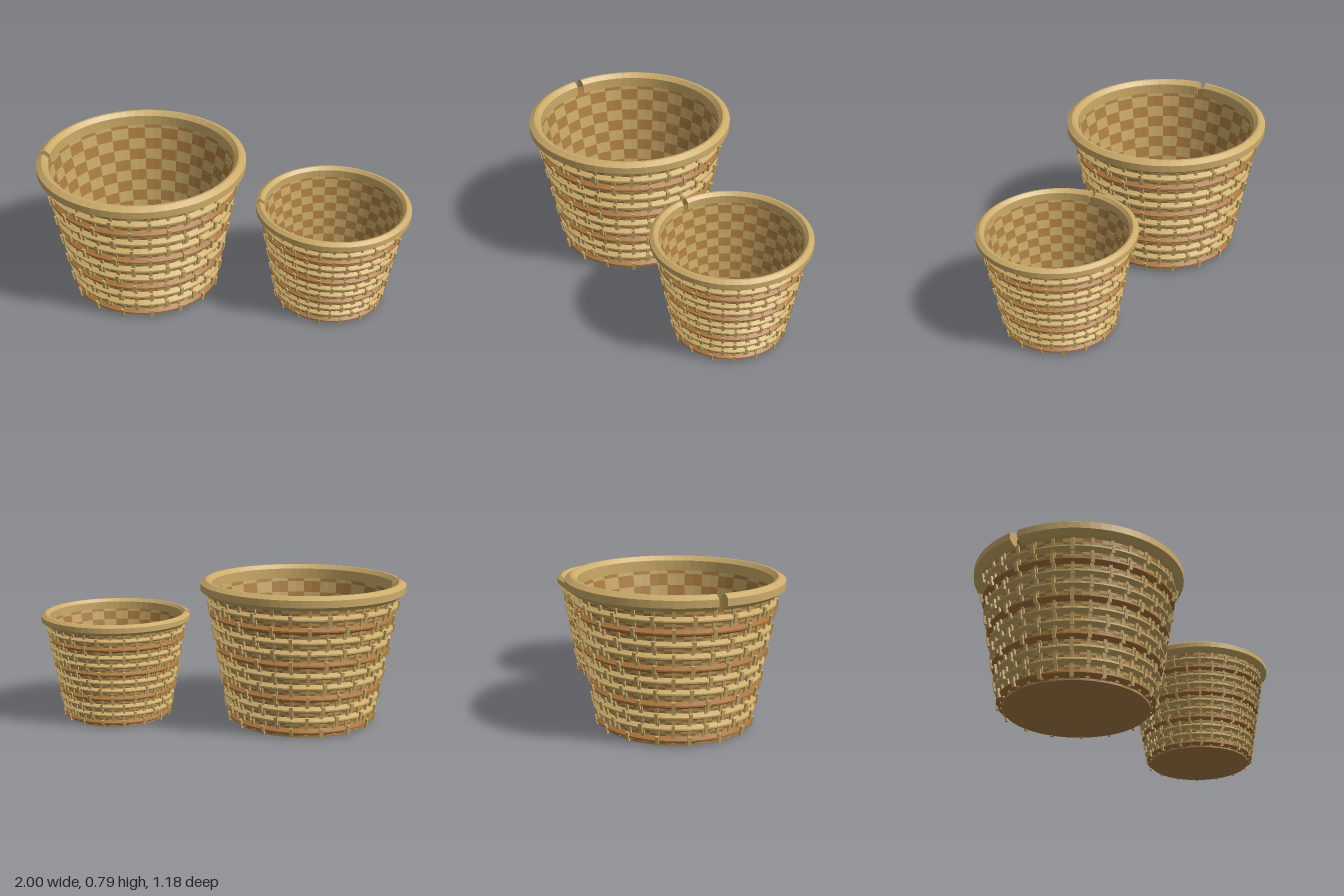
import * as THREE from 'three';
import { mergeGeometries } from 'three/addons/utils/BufferGeometryUtils.js';

const STAKES = 32, ROWS = 11, PITCH = 0.063;
const wallRadius = (y) => 0.375 + 0.18 * y;

function material(name, color, side = THREE.FrontSide) {
  const m = new THREE.MeshStandardMaterial({ color, side, flatShading: true });
  m.name = name;
  return m;
}

function part(name, geometry, mat) {
  const mesh = new THREE.Mesh(geometry, mat);
  mesh.name = name;
  return mesh;
}

const lathe = (pts, segments, start = 0, length = Math.PI * 2) =>
  new THREE.LatheGeometry(pts.map(([x, y]) => new THREE.Vector2(x, y)), segments, start, length);

// Wall squares of one colour in the woven checkerboard
function wallChecker(parity) {
  const rows = ROWS + 1, h = rows * PITCH;
  const g = new THREE.CylinderGeometry(wallRadius(h), wallRadius(0), h, STAKES * 2, rows, true);
  g.translate(0, h / 2, 0);
  const source = g.index.array, kept = [];
  for (let x = 0; x < STAKES * 2; x++) {
    for (let y = 0; y < rows; y++) {
      if (((x >> 1) + y) % 2 !== parity) continue;
      const k = (x * rows + y) * 6;
      kept.push(...source.slice(k, k + 6));
    }
  }
  g.setIndex(kept);
  return g;
}

// Horizontal ridge around the wall
function hoop(row) {
  const y = (row + 0.5) * PITCH, r = wallRadius(y);
  return lathe([[r - 0.004, y - 0.02], [r + 0.028, y - 0.004], [r + 0.028, y + 0.004], [r + 0.002, y + 0.02]], 64);
}

// Thin upright slat lying along the sloping wall
function slat(width, length, depth, y, offset, angle) {
  return new THREE.BoxGeometry(width, length, depth)
    .rotateX(Math.atan(0.18))
    .translate(0, y, wallRadius(y) + offset)
    .rotateY(angle);
}

function createBasket(name, mats) {
  const basket = new THREE.Group();
  basket.name = name;

  basket.add(part('wallTan', wallChecker(0), mats.wall));
  basket.add(part('wallBrown', wallChecker(1), mats.wallBrown));
  basket.add(part('floor', new THREE.CylinderGeometry(0.376, 0.376, 0.012, 64).translate(0, 0.006, 0), mats.floor));

  // Hoops, every third one brown
  for (let i = 0; i < ROWS; i++) basket.add(part('hoop', hoop(i), i % 3 === 0 ? mats.brown : mats.tan));

  // Stakes, passing over alternate hoops
  const slats = [];
  for (let s = 0; s < STAKES; s++) {
    const angle = ((s + 0.5) / STAKES) * Math.PI * 2;
    slats.push(slat(0.018, 0.72, 0.01, 0.366, 0.006, angle));
    for (let i = s % 2; i < ROWS; i += 2) slats.push(slat(0.018, 0.05, 0.012, (i + 0.5) * PITCH, 0.029, angle));
  }
  basket.add(part('stakes', mergeGeometries(slats), mats.tan));

  // Bevelled rim with a narrow gap where its ends meet
  const profile = [[0.5, 0.712], [0.53, 0.712], [0.5625, 0.735], [0.5625, 0.772],
    [0.535, 0.79], [0.522, 0.79], [0.5, 0.768], [0.5, 0.712]];
  const start = Math.PI * 1.5 - 0.03, length = Math.PI * 2 - 0.08;
  basket.add(part('rim', lathe(profile, 64, start, length), mats.tan));
  const section = new THREE.Shape(profile.map(([x, y]) => new THREE.Vector2(x, y)));
  for (const phi of [start, start + length]) {
    basket.add(part('rimEnd', new THREE.ShapeGeometry(section).rotateY(phi - Math.PI / 2), mats.wall));
  }
  return basket;
}

export function createModel() {
  const mats = {
    tan: material('tan cane', 0xcbab68),
    wall: material('tan weave', 0xc8a866, THREE.DoubleSide),
    wallBrown: material('brown weave', 0xac7d42, THREE.DoubleSide),
    brown: material('brown cane', 0xa8733a),
    floor: material('floor brown', 0xa87e45),
  };
  const model = new THREE.Group();
  model.name = 'baskets';

  const large = createBasket('largeBasket', mats);
  large.position.set(-0.4375, 0, -0.025);
  const small = createBasket('smallBasket', mats);
  small.position.set(0.585, 0, 0.175);
  small.scale.set(0.738, 0.75, 0.738);
  model.add(large, small);
  return model;
}
